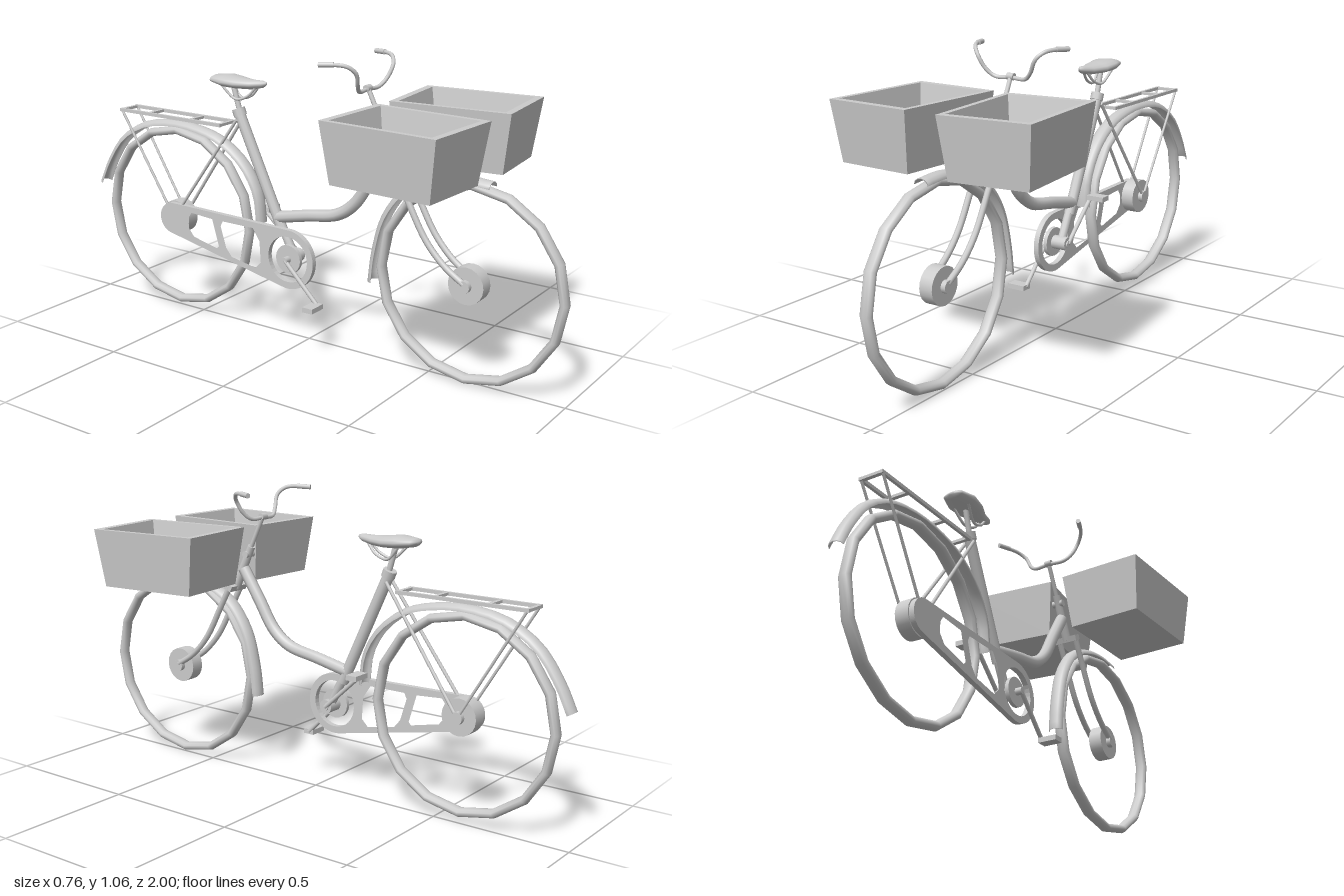
import * as THREE from 'three';

const V = (x, y, z) => new THREE.Vector3(x, y, z);
const smooth = new THREE.MeshStandardMaterial({ color: 0xcccccc });
const flat = new THREE.MeshStandardMaterial({ color: 0xcccccc, flatShading: true });
const thin = new THREE.MeshStandardMaterial({ color: 0xcccccc, side: THREE.DoubleSide });

function add(parent, name, geometry, material = smooth) {
  const mesh = new THREE.Mesh(geometry, material);
  mesh.name = name;
  parent.add(mesh);
  return mesh;
}

// Straight round bar between two points
function rod(parent, name, a, b, r, r2 = r) {
  const mesh = add(parent, name, new THREE.CylinderGeometry(r2, r, a.distanceTo(b), 10));
  mesh.position.copy(a).lerp(b, 0.5);
  mesh.quaternion.setFromUnitVectors(V(0, 1, 0), b.clone().sub(a).normalize());
  return mesh;
}

// Bent round bar through a few points
function tube(parent, name, pts, r) {
  return add(parent, name, new THREE.TubeGeometry(new THREE.CatmullRomCurve3(pts), 28, r, 8), thin);
}

// Disc or drum whose axis runs along x
function drum(parent, name, r, width, x, y, z, sides = 20) {
  const mesh = add(parent, name, new THREE.CylinderGeometry(r, r, width, sides).rotateZ(Math.PI / 2));
  mesh.position.set(x, y, z);
  return mesh;
}

function box(parent, name, w, h, d, x, y, z) {
  const mesh = add(parent, name, new THREE.BoxGeometry(w, h, d));
  mesh.position.set(x, y, z);
  return mesh;
}

// Skin over closed rings of points, with both ends capped
function loft(rings) {
  const n = rings[0].length, index = [];
  const last = rings.length - 1;
  for (let i = 0; i < last; i++) {
    for (let j = 0; j < n; j++) {
      const a = i * n + j, b = i * n + (j + 1) % n;
      index.push(a, b, a + n, b, b + n, a + n);
    }
  }
  for (let j = 0; j < n / 2 - 1; j++) {
    const k = n - 1 - j, e = last * n;
    index.push(j, k, j + 1, j + 1, k, k - 1);
    index.push(e + j, e + j + 1, e + k, e + j + 1, e + k - 1, e + k);
  }
  const g = new THREE.BufferGeometry().setFromPoints(rings.flat());
  g.setIndex(index);
  g.computeVertexNormals();
  return g;
}

// Mudguard: thin arched section swept along a path of [z, y] points
function mudguard(parent, name, path) {
  const curve = new THREE.CatmullRomCurve3(path.map(([z, y]) => V(0, y, z)));
  const steps = 24, arc = 6, rings = [];
  for (let i = 0; i <= steps; i++) {
    const p = curve.getPoint(i / steps), t = curve.getTangent(i / steps);
    const up = t.clone().cross(V(1, 0, 0));
    const ring = [];
    const corner = (a, w, d) => ring.push(p.clone().add(V(w * Math.cos(a), 0, 0)).addScaledVector(up, d * Math.sin(a) - 0.022));
    for (let k = 0; k <= arc; k++) corner(Math.PI * k / arc, 0.028, 0.022);
    for (let k = arc; k >= 0; k--) corner(Math.PI * k / arc, 0.025, 0.018);
    rings.push(ring);
  }
  add(parent, name, loft(rings), thin);
}

export function createModel() {
  const model = new THREE.Group();
  model.name = 'bicycle';
  const bike = new THREE.Group();
  bike.name = 'bicycleBody';
  bike.position.x = -0.014;
  model.add(bike);

  // Wheels with plain hubs
  const FY = 0.357, FZ = 0.648, RY = 0.375, RZ = -0.594;
  for (const [name, y, z] of [['frontWheel', FY, FZ], ['rearWheel', RY, RZ]]) {
    const tire = add(bike, name, new THREE.TorusGeometry(0.336, 0.016, 10, 16).rotateY(Math.PI / 2));
    tire.scale.x = 1.4;
    tire.position.set(0, y, z);
    drum(bike, name + 'Hub', 0.065, 0.05, 0, y, z);
    drum(bike, name + 'Axle', 0.022, 0.085, 0, y, z, 12);
  }

  // Mudguards
  mudguard(bike, 'frontMudguard', [[0.262, 0.295], [0.275, 0.4], [0.315, 0.54], [0.4, 0.65], [0.52, 0.705], [0.62, 0.722], [0.72, 0.717]]);
  mudguard(bike, 'rearMudguard', [[-0.995, 0.46], [-0.95, 0.55], [-0.87, 0.655], [-0.75, 0.725], [-0.6, 0.75], [-0.46, 0.737], [-0.36, 0.705], [-0.26, 0.63], [-0.2, 0.53], [-0.185, 0.42]]);

  // Frame
  tube(bike, 'downTube', [V(0, 0.765, 0.34), V(0, 0.66, 0.27), V(0, 0.555, 0.2), V(0, 0.505, 0.13), V(0, 0.478, 0), V(0, 0.45, -0.13)], 0.022);
  rod(bike, 'seatTube', V(0, 0.41, -0.11), V(0, 0.81, -0.296), 0.02);
  rod(bike, 'lowerTube', V(0, 0.45, -0.125), V(0, 0.315, -0.055), 0.016);
  drum(bike, 'bottomBracket', 0.025, 0.06, 0, 0.315, -0.055, 14);
  rod(bike, 'headTube', V(0, 0.69, 0.38), V(0, 0.85, 0.303), 0.017, 0.014);
  rod(bike, 'stem', V(0, 0.84, 0.308), V(0, 0.97, 0.245), 0.008);
  drum(bike, 'stemClamp', 0.012, 0.026, 0, 0.963, 0.247, 10);
  drum(bike, 'headClamp', 0.013, 0.042, 0, 0.82, 0.318, 12);

  // Front fork
  const crown = box(bike, 'forkCrown', 0.088, 0.022, 0.032, 0, 0.695, 0.382);
  crown.rotation.x = -0.45;
  for (const s of [-1, 1]) {
    tube(bike, 'forkLeg', [V(s * 0.034, 0.7, 0.38), V(s * 0.034, 0.62, 0.425), V(s * 0.034, 0.49, 0.5), V(s * 0.034, 0.415, 0.57), V(s * 0.034, 0.365, 0.645)], 0.011);
    // Rear stays
    rod(bike, 'seatStay', V(s * 0.018, 0.79, -0.297), V(s * 0.036, RY, RZ), 0.006);
    rod(bike, 'rackStay', V(s * 0.042, 0.765, -0.835), V(s * 0.036, RY, RZ), 0.005);
    // Rack side rails
    box(bike, 'rackRail', 0.011, 0.012, 0.49, s * 0.041, 0.766, -0.597);
  }
  for (const z of [-0.36, -0.5, -0.7, -0.835]) box(bike, 'rackCrossbar', 0.09, 0.01, 0.014, 0, 0.766, z);

  // Handlebar, mirrored about the stem
  const half = [[0.06, 0.96, 0.252], [0.09, 0.985, 0.265], [0.115, 1.03, 0.274], [0.138, 1.054, 0.255], [0.16, 1.06, 0.21], [0.174, 1.058, 0.17]];
  const bar = [...half].reverse().map(([x, y, z]) => V(-x, y, z));
  bar.push(V(0, 0.96, 0.247), ...half.map(([x, y, z]) => V(x, y, z)));
  add(bike, 'handlebar', new THREE.TubeGeometry(new THREE.CatmullRomCurve3(bar), 60, 0.007, 8), thin);
  for (const s of [-1, 1]) rod(bike, 'grip', V(s * 0.157, 1.06, 0.215), V(s * 0.175, 1.058, 0.168), 0.009);

  // Saddle: [z, half width, top, bottom]
  const sections = [[-0.41, 0.012, 0.935, 0.925], [-0.4, 0.04, 0.943, 0.915], [-0.345, 0.058, 0.95, 0.905], [-0.29, 0.05, 0.944, 0.903],
    [-0.235, 0.026, 0.94, 0.905], [-0.19, 0.015, 0.941, 0.915], [-0.175, 0.005, 0.937, 0.925]];
  const rings = sections.map(([z, w, top, bottom]) => Array.from({ length: 14 }, (_, k) => {
    const a = k / 14 * Math.PI * 2;
    return V(w * Math.cos(a), (top + bottom) / 2 + (top - bottom) / 2 * Math.sin(a), z);
  }));
  add(bike, 'saddle', loft(rings));
  rod(bike, 'seatPost', V(0, 0.79, -0.287), V(0, 0.91, -0.322), 0.01);
  rod(bike, 'seatClamp', V(0, 0.803, -0.292), V(0, 0.828, -0.302), 0.024);
  for (const s of [-1, 1]) tube(bike, 'saddleRail', [V(s * 0.008, 0.916, -0.215), V(s * 0.014, 0.88, -0.25), V(s * 0.018, 0.866, -0.3), V(s * 0.03, 0.91, -0.35)], 0.005);

  // Chain guard with cut-outs, outlined in z and y
  const CY = 0.315, CZ = -0.055;
  const guard = new THREE.Shape();
  guard.absarc(CZ, CY, 0.11, 1.6, -1.78, true);
  guard.absarc(RZ, RY, 0.06, -1.78, 1.6, true);
  const polygon = (pts) => new THREE.Path(pts.map(([z, y]) => new THREE.Vector2(z, y)));
  guard.holes.push(
    new THREE.Path().absarc(CZ, CY, 0.085, 0, Math.PI * 2, false),
    polygon([[-0.21, 0.405], [-0.18, 0.36], [-0.175, 0.28], [-0.2, 0.255], [-0.31, 0.275], [-0.335, 0.305], [-0.36, 0.385], [-0.35, 0.405]]),
    polygon([[-0.4, 0.405], [-0.37, 0.305], [-0.38, 0.295], [-0.49, 0.32], [-0.515, 0.35], [-0.515, 0.39], [-0.5, 0.412]]),
  );
  const guardMesh = add(bike, 'chainGuard', new THREE.ExtrudeGeometry(guard, { depth: 0.02, bevelEnabled: false, curveSegments: 20 }).rotateY(-Math.PI / 2));
  guardMesh.position.x = -0.024;
  drum(bike, 'chainring', 0.053, 0.014, -0.034, CY, CZ);

  // Cranks and pedals
  drum(bike, 'crankAxle', 0.013, 0.1, -0.015, CY, CZ, 12);
  for (const [x, y, z, px] of [[-0.059, 0.175, 0.085, -0.088], [0.031, 0.458, -0.21, 0.06]]) {
    rod(bike, 'crankArm', V(x, CY, CZ), V(x, y, z), 0.008);
    box(bike, 'pedal', 0.068, 0.018, 0.042, px, y, z);
  }

  // Tapered baskets: four-sided open tubs with a thick rim
  const profile = [[0, 0.715], [0.87, 0.715], [1, 0.922], [0.88, 0.922], [0.73, 0.74], [0, 0.74]].map(([r, y]) => new THREE.Vector2(r, y));
  for (const [name, x, z, turn] of [['rightBasket', -0.213, 0.508, -0.05], ['leftBasket', 0.197, 0.507, 0.107]]) {
    const g = new THREE.LatheGeometry(profile, 4).rotateY(Math.PI / 4).scale(0.16 * Math.SQRT2, 1, 0.213 * Math.SQRT2);
    const basket = add(model, name, g, flat);
    basket.position.set(x, 0, z);
    basket.rotation.y = turn;
  }
  return model;
}
